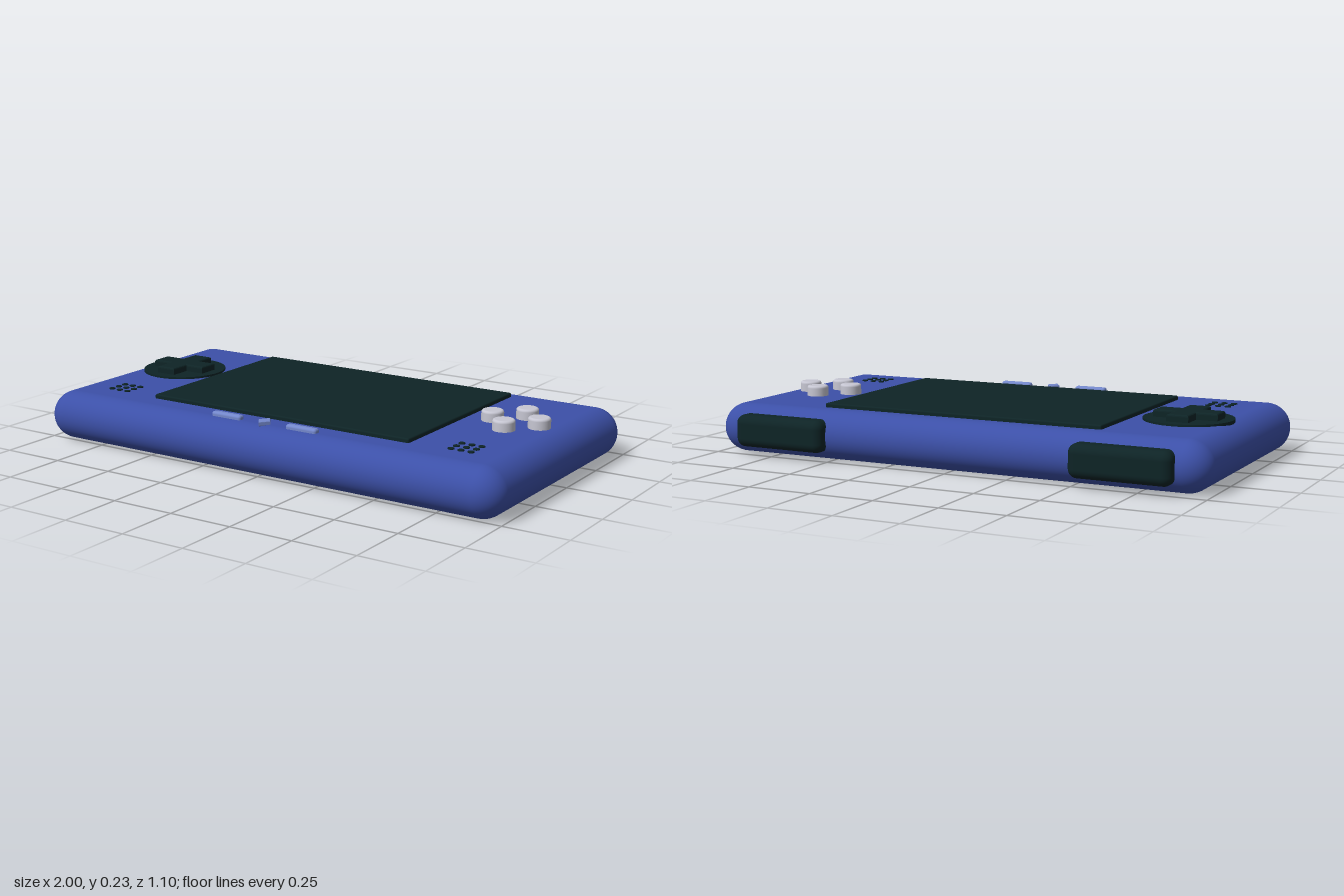
import * as THREE from 'three';
import { RoundedBoxGeometry } from 'three/addons/geometries/RoundedBoxGeometry.js';

const material = (name, color) => {
  const m = new THREE.MeshStandardMaterial({ color });
  m.name = name;
  return m;
};

export function createModel() {
  const blue = material('shell blue', 0x3c50a8);
  const dark = material('dark green black', 0x0e2426);
  const grey = material('button grey', 0xc6c6d2);
  const pale = material('pale blue', 0x7488cc);
  const model = new THREE.Group();
  model.name = 'handheldConsole';
  const TOP = 0.19;

  const add = (name, geometry, mat, x, y, z, parent = model) => {
    const mesh = new THREE.Mesh(geometry, mat);
    mesh.name = name;
    mesh.position.set(x, y, z);
    parent.add(mesh);
    return mesh;
  };
  const group = (name, x, y, z) => {
    const g = new THREE.Group();
    g.name = name;
    g.position.set(x, y, z);
    model.add(g);
    return g;
  };
  // Flat outline in x/z, extruded upwards with a small bevel
  const slab = (points, height, bevel) => {
    const shape = new THREE.Shape(points.map(([x, z]) => new THREE.Vector2(x, -z)));
    const g = new THREE.ExtrudeGeometry(shape, {
      depth: height - bevel, bevelEnabled: true, bevelThickness: bevel,
      bevelSize: bevel, bevelOffset: -bevel, bevelSegments: 3,
    });
    return g.rotateX(-Math.PI / 2);
  };

  // Pill-edged shell
  add('body', new RoundedBoxGeometry(2, TOP, 1.06, 10, TOP / 2 - 0.0005), blue, 0, TOP / 2, 0.02);

  // Screen panel
  add('screen', new RoundedBoxGeometry(1.14, 0.03, 0.78, 3, 0.006), dark, 0, 0.191, -0.005);

  // Directional pad: disc and raised cross
  const pad = group('directionalPad', -0.77, TOP, -0.05);
  add('padDisc', new THREE.CylinderGeometry(0.168, 0.168, 0.016, 48), dark, 0, 0, 0, pad);
  const a = 0.124, b = 0.042;
  const cross = [[-b, a], [b, a], [b, b], [a, b], [a, -b], [b, -b],
    [b, -a], [-b, -a], [-b, -b], [-a, -b], [-a, b], [-b, b]];
  add('padCross', slab(cross, 0.035, 0.008), dark, 0, 0, 0, pad);

  // Four round action buttons in a diamond
  const buttons = group('actionButtons', 0.765, TOP, -0.05);
  const r = 0.042, edge = 0.01, h = 0.041;
  const profile = [new THREE.Vector2(r, 0)];
  for (let i = 0; i <= 5; i++) {
    const t = (i / 5) * Math.PI / 2;
    profile.push(new THREE.Vector2(r - edge + edge * Math.cos(t), h - edge + edge * Math.sin(t)));
  }
  profile.push(new THREE.Vector2(0, h));
  const buttonGeometry = new THREE.LatheGeometry(profile, 28);
  for (let i = 0; i < 4; i++) {
    const t = i * Math.PI / 2;
    add('actionButton', buttonGeometry, grey, 0.095 * Math.cos(t), 0, 0.095 * Math.sin(t), buttons);
  }

  const holeGeometry = new THREE.CylinderGeometry(0.012, 0.012, 0.008, 14);
  const shoulderGeometry = new RoundedBoxGeometry(0.386, 0.124, 0.1, 5, 0.034);
  const menuGeometry = new RoundedBoxGeometry(0.132, 0.03, 0.03, 4, 0.01);
  for (const side of [-1, 1]) {
    // Speaker holes, three by three
    const speaker = group('speaker', side * 0.767, TOP, 0.325);
    for (let i = -1; i <= 1; i++) {
      for (let j = -1; j <= 1; j++) add('speakerHole', holeGeometry, dark, i * 0.039, 0, j * 0.039, speaker);
    }
    // Shoulder button on the back edge
    add('shoulderButton', shoulderGeometry, dark, side * 0.693, 0.098, -0.5);
    // Menu button beside the diamond
    add('menuButton', menuGeometry, pale, side * 0.167, 0.191, 0.452);
  }

  // Centre diamond
  const diamond = [[0, 0.036], [0.026, 0], [0, -0.036], [-0.026, 0]];
  add('homeDiamond', slab(diamond, 0.014, 0.003), pale, 0, TOP, 0.452);

  return model;
}
